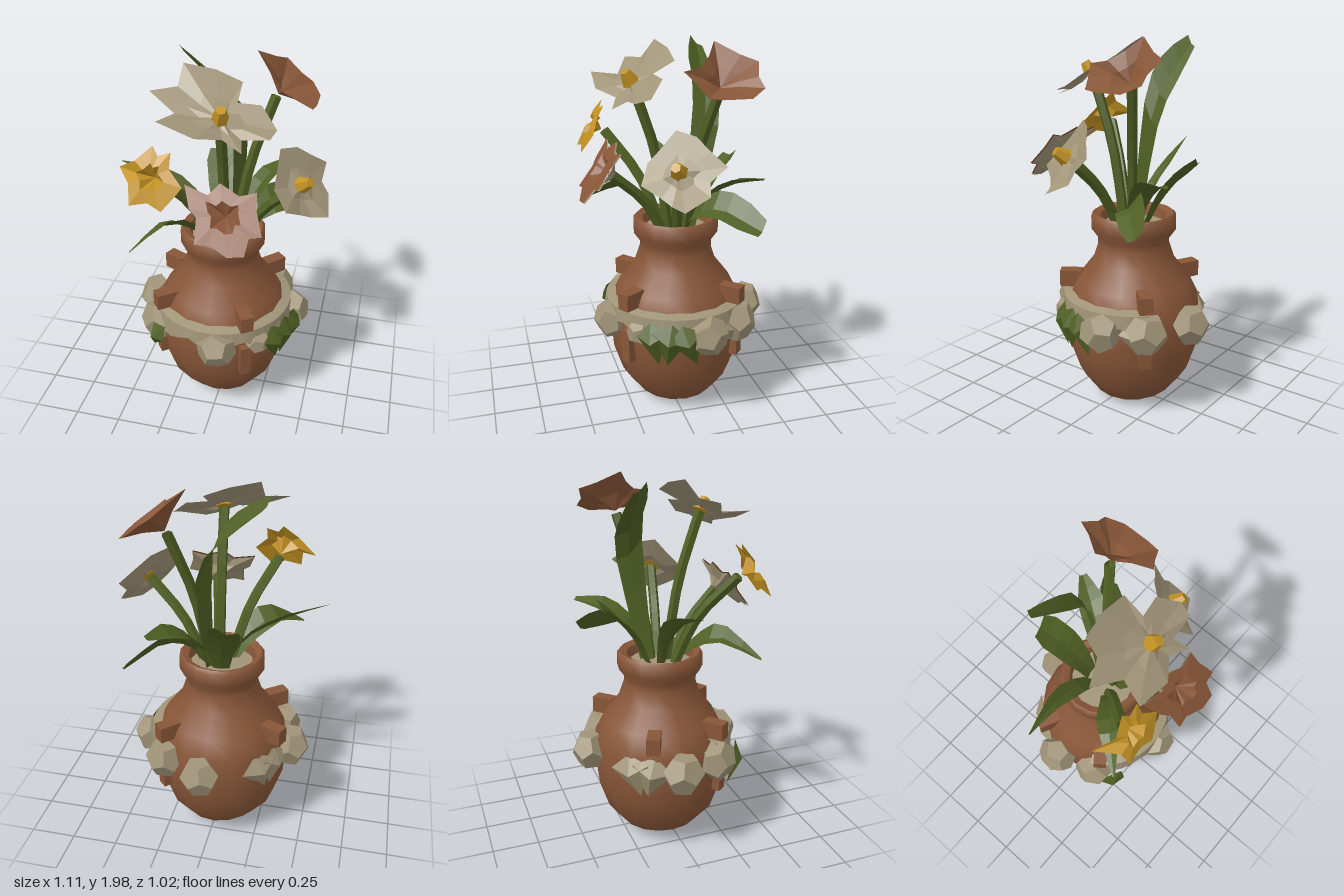
import * as THREE from 'three';
import { toCreasedNormals } from 'three/addons/utils/BufferGeometryUtils.js';

const make = (name, color, extra = {}) => {
  const m = new THREE.MeshStandardMaterial({ color, ...extra });
  m.name = name;
  return m;
};
const V = (a) => new THREE.Vector3(...a);
const AXIS = new THREE.Vector3(-0.015, 0, -0.035); // vase axis

export function createModel() {
  const root = new THREE.Group();
  const thin = { side: THREE.DoubleSide, flatShading: true };
  const clay = make('terracotta', 0x885638);
  const clayPetal = make('terracotta petal', 0x885638, thin);
  const cream = make('cream', 0xa09478, thin);
  const green = make('leaf green', 0x4f5f23, thin);
  const gold = make('gold', 0xc29223, thin);

  const add = (name, geo, mat, parent = root) => {
    const m = new THREE.Mesh(geo, mat);
    m.name = name;
    parent.add(m);
    return m;
  };
  const surface = (pos, idx) => {
    const g = new THREE.BufferGeometry();
    g.setAttribute('position', new THREE.Float32BufferAttribute(pos, 3));
    g.setIndex(idx);
    g.computeVertexNormals();
    return g;
  };

  // Vase: turned profile with a hollow neck and a slightly tilted foot
  const profile = [[0, 0.01], [0.13, 0.015], [0.215, 0.06], [0.305, 0.18], [0.355, 0.33], [0.367, 0.46], [0.36, 0.6],
    [0.31, 0.7], [0.225, 0.81], [0.195, 0.9], [0.195, 0.94], [0.23, 0.99], [0.23, 1.06], [0.215, 1.075], [0.18, 1.06],
    [0.16, 0.95], [0, 0.93]];
  const pot = new THREE.LatheGeometry(profile.map((p) => new THREE.Vector2(...p)), 16);
  const pp = pot.attributes.position;
  for (let i = 0; i < pp.count; i++) {
    const y = pp.getY(i);
    if (y < 0.18) pp.setY(i, y + (0.18 - y) * (0.05 - 0.4 * pp.getX(i)));
  }
  add('vase', toCreasedNormals(pot, 0.9), clay).position.copy(AXIS);
  add('mouthFilling', new THREE.CylinderGeometry(0.17, 0.16, 0.02, 12), cream).position.copy(AXIS).setY(1.0);

  // Place something on the vase wall; angle runs from the front towards +x
  const onWall = (mesh, deg, r, y) => {
    const a = THREE.MathUtils.degToRad(deg);
    mesh.position.set(Math.sin(a) * r, y, Math.cos(a) * r).add(AXIS);
    mesh.rotation.set(0, a, 0);
    return mesh;
  };

  // Four handle lugs, each with a lower stub and an upper hook
  for (const deg of [32, 135, 245, 308]) {
    if (deg !== 245) onWall(add('lowerLug', new THREE.BoxGeometry(0.06, 0.18, 0.07), clay), deg, 0.36, 0.43);
    onWall(add('upperLug', new THREE.BoxGeometry(0.07, 0.09, 0.12), clay), deg, 0.345, 0.69);
  }

  // Garland band with a scalloped lower edge
  const bandPos = [], bandIdx = [], steps = 22;
  for (let i = 0; i <= steps; i++) {
    const a = THREE.MathUtils.degToRad(-60 + i * 9);
    const drop = 0.05 + 0.06 * Math.abs(Math.sin(i * 0.65));
    for (const [r, y] of [[0.33, 0.645], [0.385, 0.63], [0.395, 0.63 - drop], [0.355, 0.615 - drop]])
      bandPos.push(Math.sin(a) * r, y, Math.cos(a) * r);
    if (i < steps) for (let j = 0; j < 3; j++) {
      const k = i * 4 + j;
      bandIdx.push(k, k + 1, k + 4, k + 1, k + 5, k + 4);
    }
  }
  add('garlandBand', surface(bandPos, bandIdx), cream).position.copy(AXIS);

  // Garland buds
  for (const [deg, r, s] of [[8, 0.38, 0.105], [44, 0.37, 0.07], [100, 0.4, 0.105], [136, 0.38, 0.11],
    [175, 0.4, 0.105], [268, 0.4, 0.11], [303, 0.38, 0.11]]) {
    const bud = onWall(add('garlandBud', new THREE.DodecahedronGeometry(s), cream), deg, r, 0.53);
    bud.scale.set(1.05, 1.05, 0.9);
    bud.rotateZ(deg);
  }
  // Garland leaves: pointed, folded plates
  for (const [deg, w, tilt, r, mat] of [[57, 0.085, 0.15, 0.42, green], [70, 0.1, -0.15, 0.42, green],
    [83, 0.09, 0.3, 0.43, green], [318, 0.06, -0.6, 0.45, green], [128, 0.09, 0.2, 0.4, cream],
    [226, 0.11, 0.25, 0.38, cream], [243, 0.11, -0.2, 0.38, cream]]) {
    const g = surface([0, 0.09, -0.03, -w, 0.03, -0.01, 0, -0.01, 0.03, w, 0.03, -0.01, 0.01, -0.15, -0.03],
      [0, 1, 2, 0, 2, 3, 1, 4, 2, 2, 4, 3]);
    onWall(add('garlandLeaf', g, mat), deg, r, 0.52).rotateZ(tilt);
  }

  // Long leaves: folded strips; tilt turns the blade on edge, tip sets how blunt it ends
  const leaf = (path, width, tilt, tip) => {
    const curve = new THREE.CatmullRomCurve3(path.map(V));
    const dir = V(path.at(-1)).sub(V(path[0])).setY(0).normalize();
    const side = new THREE.Vector3(-dir.z, 0, dir.x).multiplyScalar(Math.cos(tilt)).setY(Math.sin(tilt));
    const pos = [], idx = [], n = 7;
    for (let i = 0; i <= n; i++) {
      const t = i / n, p = curve.getPoint(t);
      const w = width * 0.5 * Math.min(1, 0.4 + 1.2 * t) * Math.min(1, tip + (1 - t) * 2.4);
      for (const s of [-1, 0, 1])
        pos.push(p.x + side.x * w * s, p.y + side.y * w * s - (s ? 0 : w * 0.35), p.z + side.z * w * s);
      if (i < n) for (let j = 0; j < 2; j++) {
        const k = i * 3 + j;
        idx.push(k, k + 3, k + 1, k + 1, k + 3, k + 4);
      }
    }
    add('longLeaf', surface(pos, idx), green);
  };
  leaf([[-0.03, 0.95, -0.04], [-0.13, 1.17, -0.05], [-0.32, 1.32, -0.06], [-0.56, 1.4, -0.02]], 0.1, 0.5, 0.05);
  leaf([[-0.03, 0.95, 0], [-0.12, 1.12, 0.1], [-0.24, 1.21, 0.2], [-0.4, 1.1, 0.37]], 0.15, -0.5, 0.1);
  leaf([[0.03, 0.95, -0.06], [0.13, 1.14, -0.1], [0.26, 1.2, -0.2], [0.42, 1.11, -0.36]], 0.17, -0.7, 0.6);
  leaf([[0.02, 0.95, -0.07], [0.09, 1.17, -0.14], [0.18, 1.3, -0.28], [0.27, 1.32, -0.42]], 0.14, 0.2, 0.3);
  leaf([[-0.02, 0.95, -0.08], [-0.04, 1.15, -0.17], [-0.07, 1.28, -0.26], [-0.11, 1.38, -0.37]], 0.17, 0.3, 0.7);
  leaf([[0.03, 0.95, -0.08], [0.05, 1.35, -0.14], [0.02, 1.7, -0.19], [-0.1, 1.84, -0.2], [-0.26, 1.96, -0.22]],
    0.19, -0.7, 0.45);

  // Flowers: a faceted cup from a sunken heart out to a rim loop, on a bent stem
  const flower = (name, at, rim, mat, lift, { heart, backing } = {}) => {
    const group = new THREE.Group();
    group.name = name;
    root.add(group);
    const c = V(at), pts = rim.map(V), n = pts.length;
    const normal = new THREE.Vector3();
    pts.forEach((p, i) => normal.add(p.clone().sub(c).cross(pts[(i + 1) % n].clone().sub(c))));
    normal.normalize();
    const cup = (sink) => {
      const pos = c.clone().addScaledVector(normal, -sink).toArray(), idx = [];
      for (const p of pts) pos.push(...c.clone().lerp(p, 0.45).addScaledVector(normal, lift - sink).toArray());
      for (const p of pts) pos.push(...p.clone().addScaledVector(normal, -sink * 0.2).toArray());
      for (let i = 0; i < n; i++) {
        const a = 1 + i, b = 1 + ((i + 1) % n);
        idx.push(0, a, b, a, a + n, b + n, a, b + n, b);
      }
      return surface(pos, idx);
    };
    add('petals', cup(0), mat, group);
    if (backing) add('petalBacking', cup(0.04), backing, group);
    if (heart) {
      const h = add('heart', new THREE.CylinderGeometry(0.025, 0.045, 0.07, 6), gold, group);
      h.position.copy(c).addScaledVector(normal, 0.025);
      h.quaternion.setFromUnitVectors(new THREE.Vector3(0, 1, 0), normal);
    }
    const stem = new THREE.CatmullRomCurve3([
      new THREE.Vector3(c.x * 0.15, 0.94, c.z * 0.15 - 0.03),
      new THREE.Vector3(c.x * 0.5, 0.94 + (c.y - 0.94) * 0.58, c.z * 0.5 - 0.02),
      c.clone().addScaledVector(normal, -0.015),
    ]);
    add('stem', new THREE.TubeGeometry(stem, 6, 0.028, 5), green, group);
  };
  flower('topCreamFlower', [0.03, 1.8, 0.21], [
    [0.09, 1.9, 0], [-0.04, 1.95, 0], [-0.19, 1.98, 0.03], [-0.2, 1.89, 0.1], [-0.32, 1.88, 0.16], [-0.18, 1.81, 0.23],
    [-0.23, 1.82, 0.36], [-0.05, 1.76, 0.37], [0.06, 1.73, 0.29], [0.16, 1.69, 0.33], [0.14, 1.72, 0.25],
    [0.27, 1.73, 0.24], [0.29, 1.75, 0.17], [0.2, 1.83, 0.09], [0.09, 1.84, 0.11]], cream, -0.01, { heart: true });
  flower('sideCreamFlower', [0.41, 1.43, 0.07], [
    [0.29, 1.6, 0.05], [0.29, 1.51, 0.13], [0.29, 1.45, 0.19], [0.36, 1.36, 0.24], [0.42, 1.31, 0.16],
    [0.47, 1.28, 0.12], [0.55, 1.27, 0.08], [0.53, 1.33, -0.05], [0.49, 1.39, -0.06], [0.5, 1.46, -0.14],
    [0.43, 1.52, -0.08], [0.36, 1.58, -0.03]], cream, -0.015, { heart: true });

  // The trumpet flowers have a flat lobed rim, so one coordinate follows from a plane
  const topRim = [[0.12, -0.19], [0.2, -0.14], [0.26, -0.08], [0.28, 0.01], [0.34, -0.03], [0.42, -0.07], [0.43, -0.14],
    [0.43, -0.28], [0.38, -0.36], [0.32, -0.35], [0.24, -0.38], [0.2, -0.3]];
  flower('topClayFlower', [0.23, 1.78, -0.19],
    topRim.map(([x, z]) => [x, 2 - 0.76 * (x - 0.11), z]), clayPetal, 0.01);
  const frontRim = [[-0.12, 1.49], [-0.08, 1.4], [-0.04, 1.37], [-0.03, 1.27], [0.03, 1.28], [0.13, 1.24], [0.21, 1.25],
    [0.22, 1.32], [0.28, 1.33], [0.24, 1.42], [0.23, 1.49], [0.15, 1.47], [0.05, 1.51], [0, 1.46]];
  flower('frontClayFlower', [0.09, 1.36, 0.34],
    frontRim.map(([x, y]) => [x, y, 0.3 + 0.77 * (1.5 - y)]), clayPetal, 0.035, { backing: cream });
  const goldRim = [[-0.45, 1.53], [-0.37, 1.5], [-0.36, 1.41], [-0.27, 1.43], [-0.2, 1.4], [-0.14, 1.47], [-0.11, 1.51],
    [-0.18, 1.58], [-0.18, 1.65], [-0.24, 1.63], [-0.27, 1.67], [-0.35, 1.6]];
  flower('goldFlower', [-0.26, 1.51, 0.31],
    goldRim.map(([x, y]) => [x, y, x < -0.4 ? 0.28 : 0.3 + 0.5 * (1.67 - y)]), gold, 0.045);

  return root;
}
